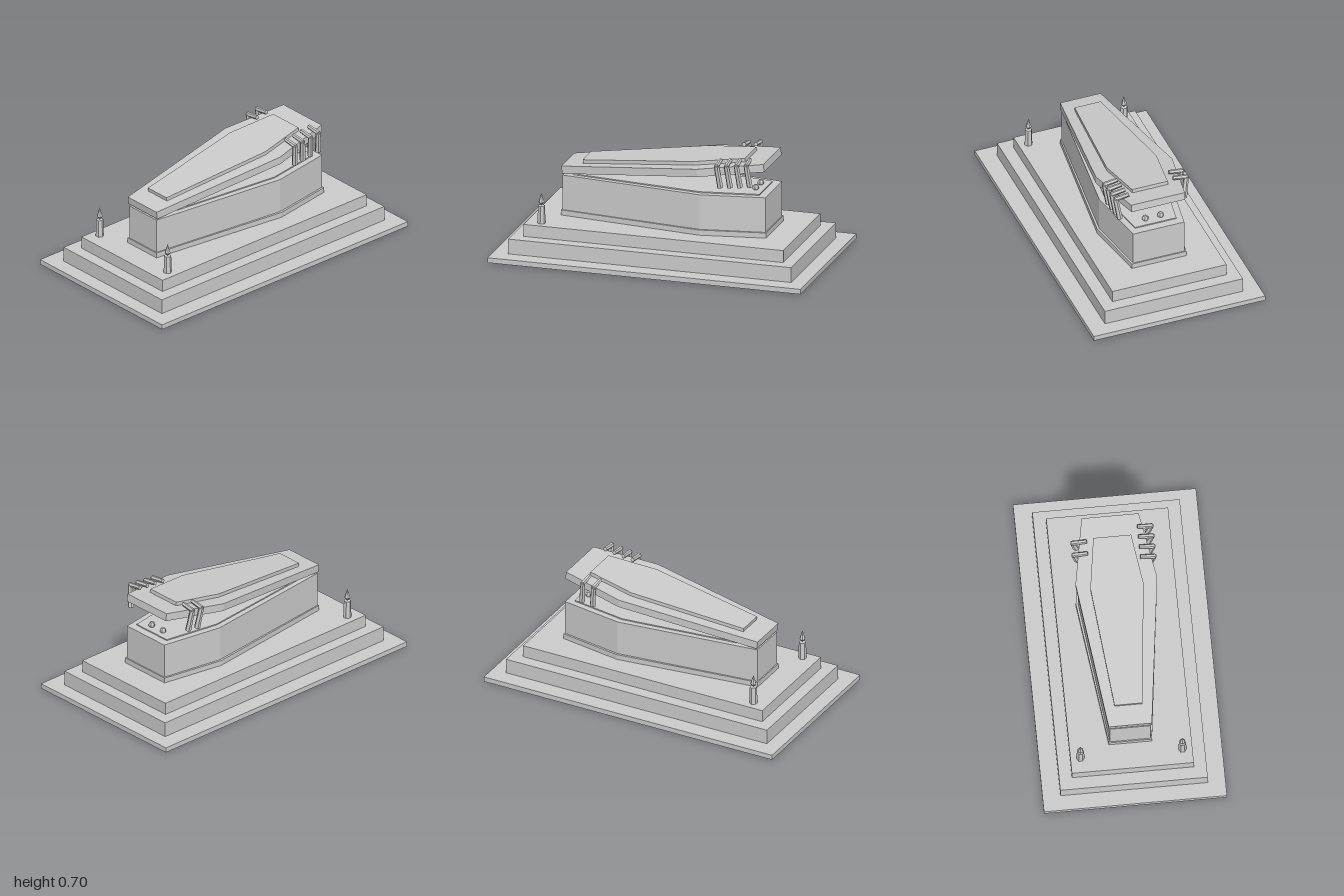
import * as THREE from 'three';

export function createModel() {
  const model = new THREE.Group();
  const stone = new THREE.MeshStandardMaterial({ color: 0xcccccc, flatShading: true });
  stone.name = 'pale grey stone';

  function add(parent, name, geometry, x = 0, y = 0, z = 0) {
    const mesh = new THREE.Mesh(geometry, stone);
    mesh.name = name;
    mesh.position.set(x, y, z);
    parent.add(mesh);
    return mesh;
  }

  // Six-sided coffin slab: half widths at the foot, shoulder and head, with their z
  function coffin(foot, shoulder, head, zFoot, zShoulder, zHead, height) {
    const shape = new THREE.Shape([
      [foot, zFoot], [shoulder, zShoulder], [head, zHead],
      [-head, zHead], [-shoulder, zShoulder], [-foot, zFoot],
    ].map(([x, z]) => new THREE.Vector2(x, -z)));
    return new THREE.ExtrudeGeometry(shape, { depth: height, bevelEnabled: false }).rotateX(-Math.PI / 2);
  }

  // Tapered six-sided rod between two points
  function rod(parent, name, from, to, rFrom, rTo) {
    const a = new THREE.Vector3(...from), b = new THREE.Vector3(...to);
    const dir = b.clone().sub(a);
    const mesh = add(parent, name, new THREE.CylinderGeometry(rTo, rFrom, dir.length(), 6));
    mesh.position.copy(a).add(b).multiplyScalar(0.5);
    mesh.quaternion.setFromUnitVectors(new THREE.Vector3(0, 1, 0), dir.normalize());
  }

  // Stepped platform
  [[1.12, 2, 0, 0.032], [0.902, 1.81, 0.032, 0.127], [0.746, 1.66, 0.127, 0.204]].forEach(([w, d, y0, y1], i) =>
    add(model, 'platformStep' + (i + 1), new THREE.BoxGeometry(w, y1 - y0, d), 0, (y0 + y1) / 2));

  // Coffin body with foot moulding and raised inner panel
  add(model, 'coffinMoulding', coffin(0.132, 0.247, 0.178, 0.667, -0.25, -0.657, 0.033), 0, 0.204);
  add(model, 'coffinBody', coffin(0.125, 0.233, 0.167, 0.66, -0.25, -0.65, 0.224), 0, 0.235);
  add(model, 'innerPanel', coffin(0.1, 0.195, 0.135, 0.6, -0.24, -0.6, 0.007), 0, 0.459);

  // Eyes peeking out at the head end
  for (const x of [-0.05, 0.05]) add(model, 'eye', new THREE.SphereGeometry(0.021, 6, 5), x, 0.48, -0.552);

  // Lid hinged at the foot and raised at the head
  const lid = new THREE.Group();
  lid.name = 'lid';
  lid.position.set(0, 0.47, 0.66);
  lid.rotation.x = 0.119;
  model.add(lid);
  add(lid, 'lidSlab', coffin(0.132, 0.25, 0.175, 0, -0.907, -1.314, 0.049));
  add(lid, 'lidPanel', coffin(0.085, 0.163, 0.116, -0.126, -0.868, -1.18, 0.023), 0, 0.049);

  // Fingers gripping the lid edges
  function finger(side, z) {
    const hand = new THREE.Group();
    hand.name = 'finger';
    const d = z - 0.667;
    rod(hand, 'fingerTop', [side * 0.158, 0.075, d], [side * 0.25, 0.062, d], 0.013, 0.015);
    rod(hand, 'fingerSide', [side * 0.244, 0.066, d], [side * 0.222, -0.078, d], 0.016, 0.019);
    lid.add(hand);
  }
  for (const z of [-0.56, -0.497, -0.433, -0.37]) finger(1, z);
  for (const z of [-0.495, -0.42]) finger(-1, z);

  // Candles with faceted flames
  const flame = [[0, 0.316], [0.019, 0.338], [0, 0.398]].map(([r, y]) => new THREE.Vector2(r, y));
  for (const x of [-0.312, 0.312]) {
    add(model, 'candle', new THREE.CylinderGeometry(0.022, 0.025, 0.112, 6).rotateY(Math.PI / 6), x, 0.26, 0.735);
    add(model, 'flame', new THREE.LatheGeometry(flame, 6), x, 0, 0.735);
  }
  return model;
}
